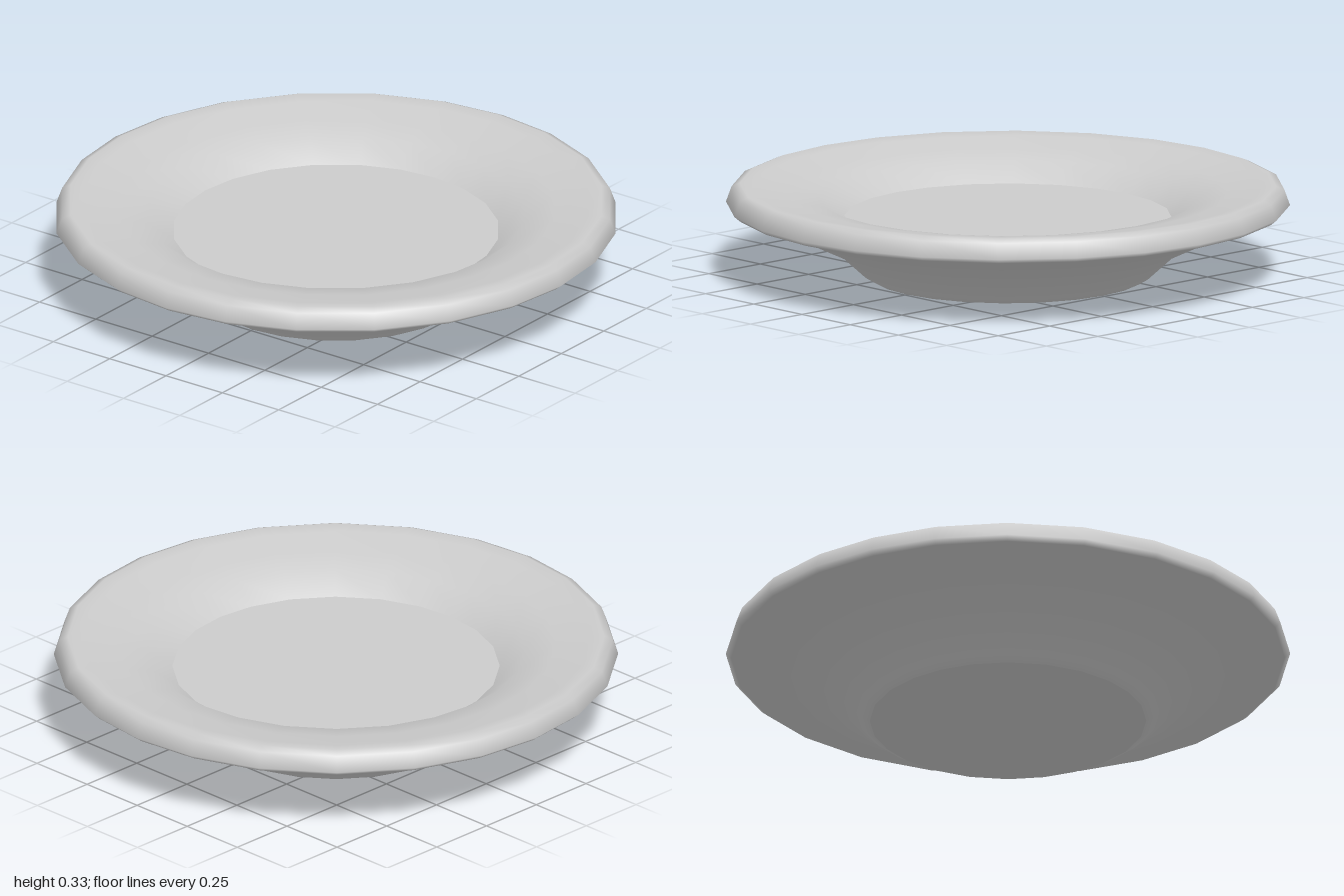
import * as THREE from 'three';

const SIDES = 24;
const material = new THREE.MeshStandardMaterial({ color: 0xcccccc });

// Revolved part; the ring of corners is drawn slightly toward the four axes
function turned(name, profile) {
  const geometry = new THREE.LatheGeometry(profile.map(([r, y]) => new THREE.Vector2(r, y)), SIDES);
  const pos = geometry.attributes.position;
  for (let i = 0; i < pos.count; i++) {
    const r = Math.hypot(pos.getX(i), pos.getZ(i));
    const a = Math.atan2(pos.getX(i), pos.getZ(i));
    const b = a - 0.022 * Math.sin(4 * a);
    pos.setX(i, r * Math.sin(b));
    pos.setZ(i, r * Math.cos(b));
  }
  const mesh = new THREE.Mesh(geometry, material);
  mesh.name = name;
  return mesh;
}

export function createModel() {
  const plate = new THREE.Group();
  plate.name = 'plate';

  // Flat underside
  plate.add(turned('base', [[0, 0], [0.49, 0]]));

  // Flared underside, rolled rim and sloping upper face
  plate.add(turned('rim', [
    [0.49, 0], [0.52, 0.018], [0.61, 0.1], [0.82, 0.2], [0.98, 0.245],
    [1, 0.262], [0.98, 0.317], [0.95, 0.33], [0.9, 0.323], [0.78, 0.302],
    [0.67, 0.28], [0.58, 0.215],
  ]));

  // Flat floor of the well
  plate.add(turned('well', [[0.58, 0.215], [0, 0.215]]));

  return plate;
}
